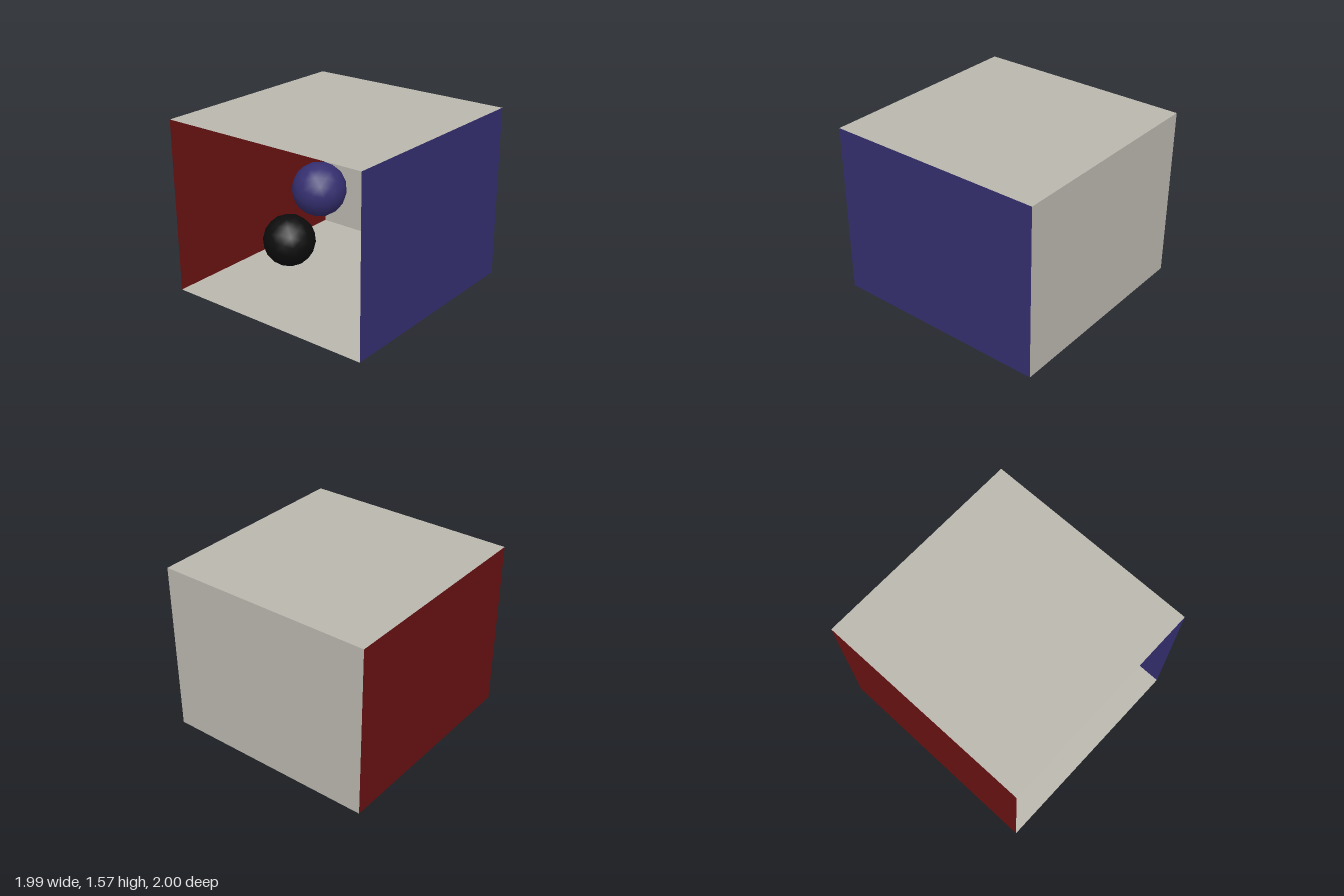
import * as THREE from 'three';

const H = 1.57, X = 0.994, Z = 1;

// Paper-thin four-cornered panel, corners listed around its rim
function panel(name, color, corners) {
  const geo = new THREE.BufferGeometry();
  geo.setAttribute('position', new THREE.Float32BufferAttribute(corners.flat(), 3));
  geo.setIndex([0, 1, 2, 0, 2, 3]);
  geo.computeVertexNormals();
  const mesh = new THREE.Mesh(geo, new THREE.MeshStandardMaterial({ color, side: THREE.DoubleSide }));
  mesh.name = name;
  return mesh;
}

// Coarse ball with smooth normals
function ball(name, color, position, rotation) {
  const mesh = new THREE.Mesh(
    new THREE.IcosahedronGeometry(0.245, 2),
    new THREE.MeshStandardMaterial({ color })
  );
  mesh.name = name;
  mesh.position.set(...position);
  mesh.rotation.set(...rotation);
  return mesh;
}

export function createModel() {
  const room = new THREE.Group();
  room.name = 'openRoom';
  const stone = 0xbab7ae, red = 0x6a1212, blue = 0x352f70;

  // The red wall leans slightly inward at the floor, more so at the back
  const footFront = [-0.983, 0, Z], footBack = [-0.971, 0, -Z];
  const rightFront = [X, 0, Z], rightBack = [X, 0, -Z];
  const topLeftFront = [-X, H, Z], topLeftBack = [-X, H, -Z];
  const topRightFront = [X, H, Z], topRightBack = [X, H, -Z];

  // Five panels, open at the front, facing into the room
  room.add(
    panel('floor', stone, [footFront, rightFront, rightBack, footBack]),
    panel('ceiling', stone, [topLeftFront, topLeftBack, topRightBack, topRightFront]),
    panel('backWall', stone, [footBack, rightBack, topRightBack, topLeftBack]),
    panel('redWall', red, [footFront, footBack, topLeftBack, topLeftFront]),
    panel('blueWall', blue, [rightBack, rightFront, topRightFront, topRightBack])
  );

  // One ball rests near the floor, the other floats above it
  room.add(
    ball('blackBall', 0x0c0c0c, [-0.57, 0.249, 0.02], [0.3, 0.2, 0.1]),
    ball('blueBall', blue, [-0.223, 0.834, 0], [0.1, 0.5, 0.25])
  );
  return room;
}
